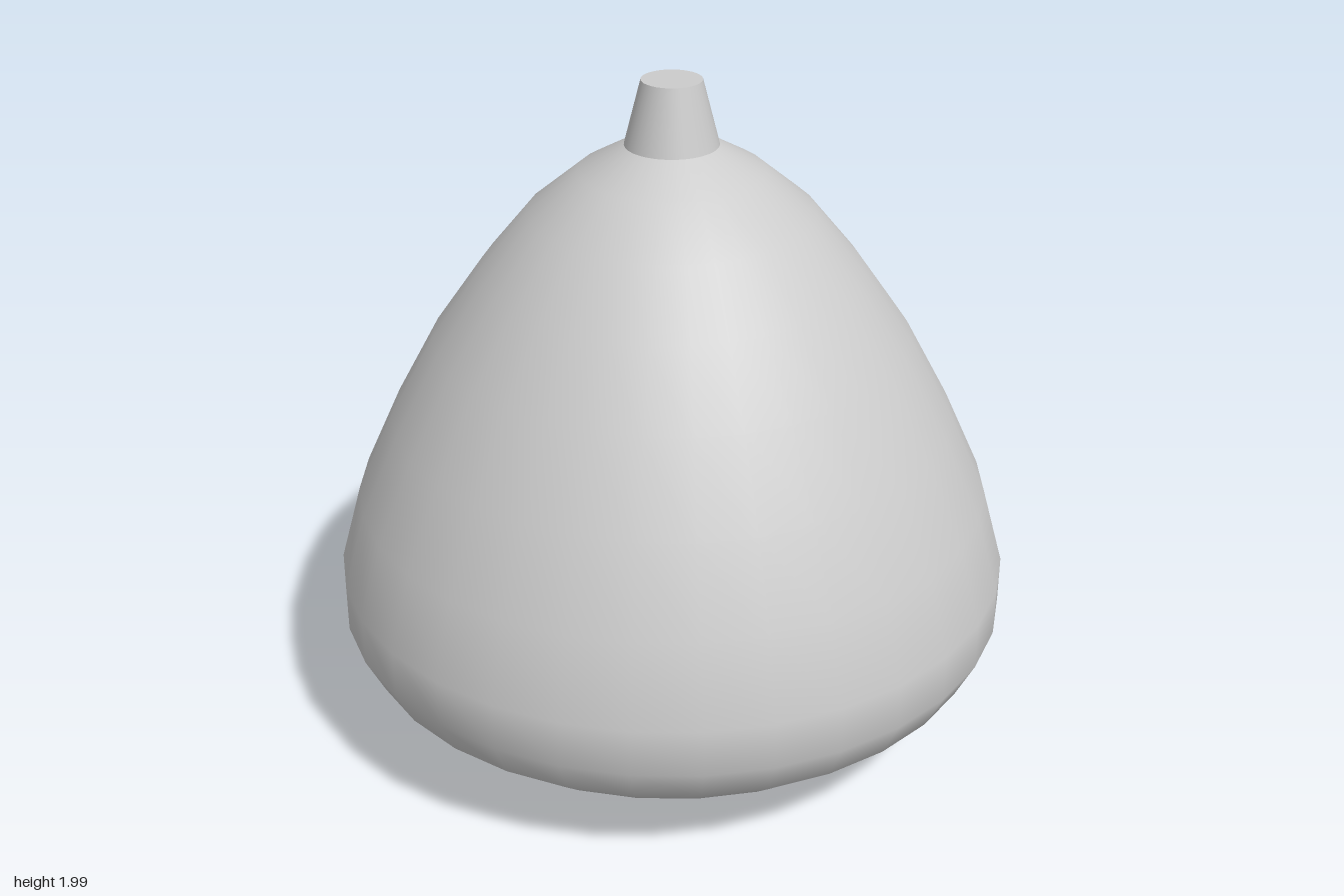
import * as THREE from 'three';

const SEGMENTS = 32;

export function createModel() {
  const model = new THREE.Group();
  const material = new THREE.MeshStandardMaterial({ color: 0xcccccc });

  // Rounded bell body, closed underneath by a shallow bulging base
  const profile = [
    [0, 0.008], [0.2, 0.022], [0.4, 0.068], [0.56, 0.115], [0.72, 0.16],
    [0.85, 0.215], [0.94, 0.29], [0.995, 0.4], [0.995, 0.54], [0.93, 0.77],
    [0.82, 1.01], [0.69, 1.25], [0.55, 1.45], [0.41, 1.62], [0.265, 1.74],
    [0.132, 1.815],
  ].map(([r, y]) => new THREE.Vector2(r, y));
  const body = new THREE.Mesh(new THREE.LatheGeometry(profile, SEGMENTS), material);
  body.name = 'body';
  model.add(body);

  // Tapered neck with a flat top
  const neckBottom = 1.813, neckTop = 2;
  const neck = new THREE.Mesh(
    new THREE.CylinderGeometry(0.086, 0.134, neckTop - neckBottom, SEGMENTS), material);
  neck.position.y = (neckBottom + neckTop) / 2;
  neck.name = 'neck';
  model.add(neck);

  return model;
}
